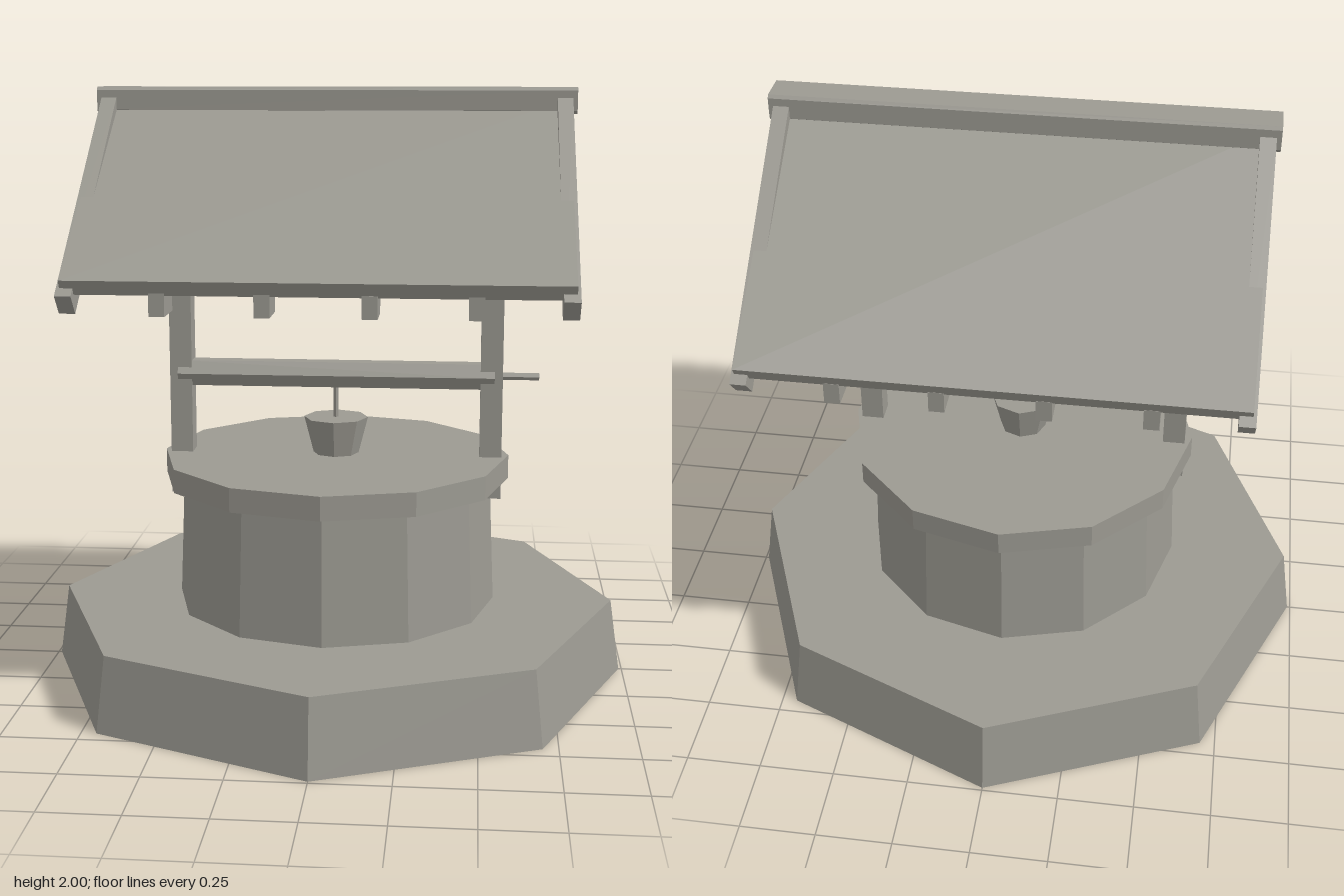
import * as THREE from 'three';

export function createModel() {
  const model = new THREE.Group();
  const stone = new THREE.MeshStandardMaterial({ color: 0x9c9a92 });
  stone.name = 'weathered grey';
  const dark = new THREE.MeshStandardMaterial({ color: 0x544f48 });
  dark.name = 'dark brown grey';

  function add(name, geometry, x = 0, y = 0, z = 0, material = stone) {
    const flat = geometry.index ? geometry.toNonIndexed() : geometry;
    flat.computeVertexNormals();
    const mesh = new THREE.Mesh(flat, material);
    mesh.name = name;
    mesh.position.set(x, y, z);
    model.add(mesh);
    return mesh;
  }
  const box = (name, w, h, d, x, y, z, material) =>
    add(name, new THREE.BoxGeometry(w, h, d), x, y, z, material);
  const drum = (name, top, bottom, y0, y1, sides) =>
    add(name, new THREE.CylinderGeometry(top, bottom, y1 - y0, sides), 0, (y0 + y1) / 2, 0);

  // Extrudes a [z, y] outline along x, centred on the given x
  function profile(name, points, width, x = 0) {
    const shape = new THREE.Shape(points.map(([z, y]) => new THREE.Vector2(z, y)));
    const geometry = new THREE.ExtrudeGeometry(shape, { depth: width, bevelEnabled: false });
    geometry.translate(0, 0, -width / 2);
    geometry.rotateY(-Math.PI / 2);
    return add(name, geometry, x);
  }
  // Completes a half outline by mirroring it across z = 0
  const mirrored = (half) => [
    ...half,
    ...half.filter(([z]) => z > 0).reverse().map(([z, y]) => [-z, y]),
  ];
  // Chevron: underside from the peak outwards, then back along the top
  const chevron = (low, under, over, high) => [
    [0, low], under, over, [0, high], [-over[0], over[1]], [-under[0], under[1]],
  ];

  // Stonework
  drum('base', 0.955, 0.99, 0, 0.25, 8);
  drum('wellWall', 0.53, 0.548, 0.25, 0.68, 12);
  drum('wellRim', 0.592, 0.592, 0.68, 0.76, 12);

  // Bucket and rope
  drum('bucket', 0.11, 0.078, 0.76, 0.885, 8);
  drum('rope', 0.009, 0.009, 0.88, 1.0, 6);

  // Six-sided axle and the crank rod on the left
  const axle = new THREE.CylinderGeometry(0.05, 0.05, 1.08, 6);
  add('axle', axle.rotateZ(Math.PI / 2), 0, 1.035, 0);
  const crank = new THREE.CylinderGeometry(0.013, 0.013, 0.2, 6);
  add('crank', crank.rotateZ(Math.PI / 2), 0.59, 1.035, 0);

  // Roof covering, closed loft below it and ridge beam
  profile('roofPanels', chevron(1.905, [0.715, 1.4], [0.74, 1.445], 1.965), 1.53);
  profile('loft', mirrored([[0, 1.4], [0.575, 1.4], [0, 1.91]]), 1.28);
  const ridge = mirrored([[0.05, 1.915], [0.058, 1.925], [0.058, 1.99], [0.05, 2.0]]);
  profile('ridgeBeam', ridge, 1.58);

  for (const side of [1, -1]) {
    // Upright posts
    box('post', 0.075, 0.785, 0.076, side * 0.53, 1.0075, 0);

    // Gable framing and hanging plate
    box('kingPost', 0.06, 0.47, 0.07, side * 0.66, 1.635, 0);
    box('collarBeam', 0.05, 0.065, 0.64, side * 0.66, 1.63, 0);
    box('gablePlate', 0.018, 0.265, 0.22, side * 0.7, 1.687, 0, dark);

    // Pair of sloping boards at the roof end
    const slope = [
      [0, 1.91], [0.7, 1.34], [0.752, 1.4], [0.04, 1.98],
      [-0.04, 1.98], [-0.752, 1.4], [-0.7, 1.34],
    ];
    profile('rakeBoards', slope, 0.05, side * 0.75);

    // Rafter tails under the eaves
    for (const x of [-0.475, -0.16, 0.16, 0.475]) {
      box('rafterTail', 0.048, 0.07, 0.13, x, 1.372, side * 0.655);
    }
  }
  return model;
}
